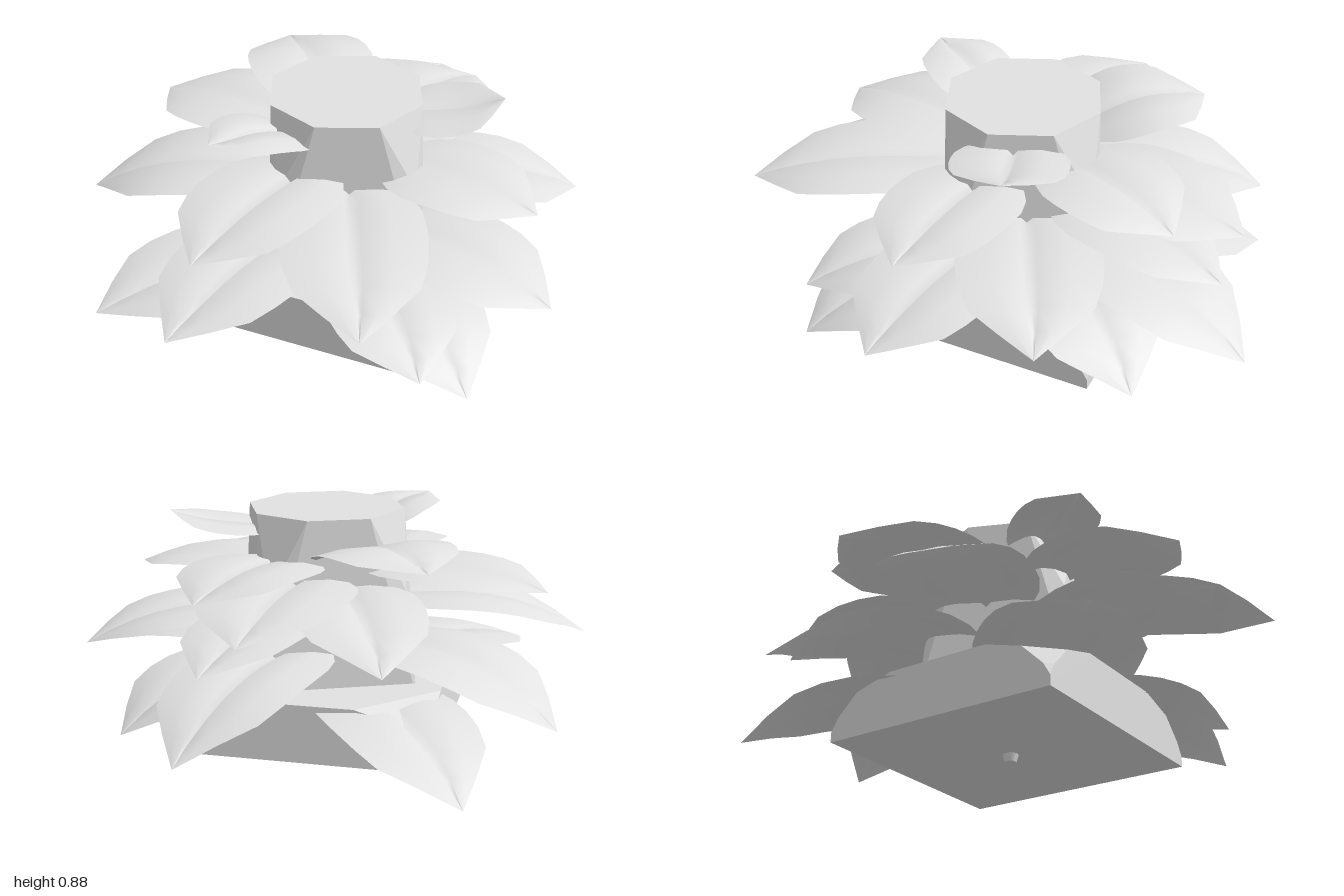
import * as THREE from 'three';
import { ConvexGeometry } from 'three/addons/geometries/ConvexGeometry.js';

const CX = 0.06, CZ = 0.01;
const grey = new THREE.MeshStandardMaterial({ color: 0xe2e2e2, side: THREE.DoubleSide });
grey.name = 'pale grey';

// ring of n points about the stem axis
function ring(n, radius, y, startAngle) {
  return Array.from({ length: n }, (_, i) => {
    const a = startAngle + (i * 2 * Math.PI) / n;
    return new THREE.Vector3(CX + radius * Math.cos(a), y, CZ + radius * Math.sin(a));
  });
}

function add(group, geometry, name) {
  const mesh = new THREE.Mesh(geometry, grey);
  mesh.name = name;
  group.add(mesh);
  return mesh;
}

// square block with its four upper corners rounded off
function baseGeometry() {
  const corners = ring(4, 0.68, 0, Math.atan2(0.68, 0.05));
  const points = [];
  corners.forEach((c, i) => {
    const sides = [corners[(i + 1) % 4], corners[(i + 3) % 4]];
    for (const y of [0.03, 0.07]) points.push(new THREE.Vector3(c.x, y, c.z));
    for (const s of sides) {
      for (const [f, y] of [[0.03, 0.12], [0.12, 0.205], [0.28, 0.25]]) {
        const p = c.clone().lerp(s, f);
        p.y = y;
        points.push(p);
      }
    }
  });
  return new ConvexGeometry(points);
}

// half-width along a leaf, and the grooved section across it
const WIDTH = [0.6, 0.85, 0.97, 1, 0.99, 0.94, 0.82, 0.44, 0];
const ACROSS = [-1, -0.55, -0.1, 0, 0.1, 0.55, 1];
const FOLD = [0, 0.015, 0.01, -0.015, 0.01, 0.015, 0];

// blade from the stem to a blunt pointed tip, flat at first and then drooping
function leafGeometry(x, z, y, drop, halfWidth, arch = 0.015) {
  const dir = new THREE.Vector2(x - CX, z - CZ);
  const reach = dir.length();
  dir.normalize();
  const start = 0.22, rows = WIDTH.length, cols = ACROSS.length;
  const pos = [], index = [];
  for (let i = 0; i < rows; i++) {
    const t = i / (rows - 1);
    const r = start + (reach - start) * t;
    const h = y + drop * (1 - t ** 3) + arch * Math.sin(Math.PI * t);
    for (let j = 0; j < cols; j++) {
      const s = ACROSS[j] * WIDTH[i] * halfWidth;
      pos.push(CX + dir.x * r - dir.y * s, h + FOLD[j] * WIDTH[i], CZ + dir.y * r + dir.x * s);
      if (i < rows - 1 && j < cols - 1) {
        const a = i * cols + j;
        index.push(a, a + 1, a + cols, a + 1, a + cols + 1, a + cols);
      }
    }
  }
  const g = new THREE.BufferGeometry();
  g.setAttribute('position', new THREE.Float32BufferAttribute(pos, 3));
  g.setIndex(index);
  g.computeVertexNormals();
  return g;
}

// tip x, tip z, tip height, drop from stem to tip, half-width, arch
const LEAVES = {
  lowerLeaf: [
    [0.08, -1.0, 0.04, 0.18, 0.26],
    [-0.37, -0.9, 0.2, 0.2, 0.26],
    [0.92, -0.56, 0.19, 0.19, 0.25],
    [0.95, -0.13, 0.165, 0.17, 0.25],
    [0.61, 0.73, 0.26, 0.1, 0.26],
    [0.22, 0.9, 0.08, 0.16, 0.25],
    [0.05, 0.87, 0.17, 0.1, 0.24],
    [-0.96, 0.15, 0.18, 0.07, 0.26, 0.03],
  ],
  middleLeaf: [
    [-0.85, -0.43, 0.37, 0.16, 0.26],
    [0.31, -0.86, 0.49, 0.13, 0.24],
    [0.95, 0.22, 0.41, 0.11, 0.26],
    [-0.78, 0.6, 0.35, 0.06, 0.26, 0.04],
    [0.8, -0.5, 0.46, 0.08, 0.22],
    [-0.22, 1.0, 0.52, 0.09, 0.26],
  ],
  upperLeaf: [
    [-0.48, -0.67, 0.63, 0.05, 0.26],
    [0.71, -0.61, 0.58, 0.07, 0.26],
    [-0.66, 0.52, 0.59, 0.06, 0.25, 0.02],
    [0.58, 0.61, 0.6, 0.05, 0.24],
    [0.74, -0.33, 0.66, 0.05, 0.24, 0.02],
  ],
  crownLeaf: [
    [0.05, -0.71, 0.77, -0.04, 0.25, 0.07],
    [0.6, 0.24, 0.875, -0.07, 0.21, 0.01],
    [-0.51, 0.2, 0.855, -0.09, 0.17, 0.06],
  ],
};

export function createModel() {
  const model = new THREE.Group();
  model.name = 'leafyStem';

  add(model, baseGeometry(), 'base');

  // trunk passes from a square foot to an eight-sided cut top
  const foot = Math.atan2(0.33, 0.17);
  const trunk = new ConvexGeometry([
    ...ring(4, 0.41, 0.2, foot),
    ...ring(4, 0.36, 0.6, foot),
    ...ring(8, 0.3, 0.88, foot + Math.PI / 8),
  ]);
  add(model, trunk, 'trunk');

  // small root nub below the base
  const root = add(model, new THREE.CylinderGeometry(0.034, 0.022, 0.04, 7), 'root');
  root.position.set(CX, 0.02, CZ);

  for (const [name, list] of Object.entries(LEAVES)) {
    for (const leaf of list) add(model, leafGeometry(...leaf), name);
  }
  return model;
}
